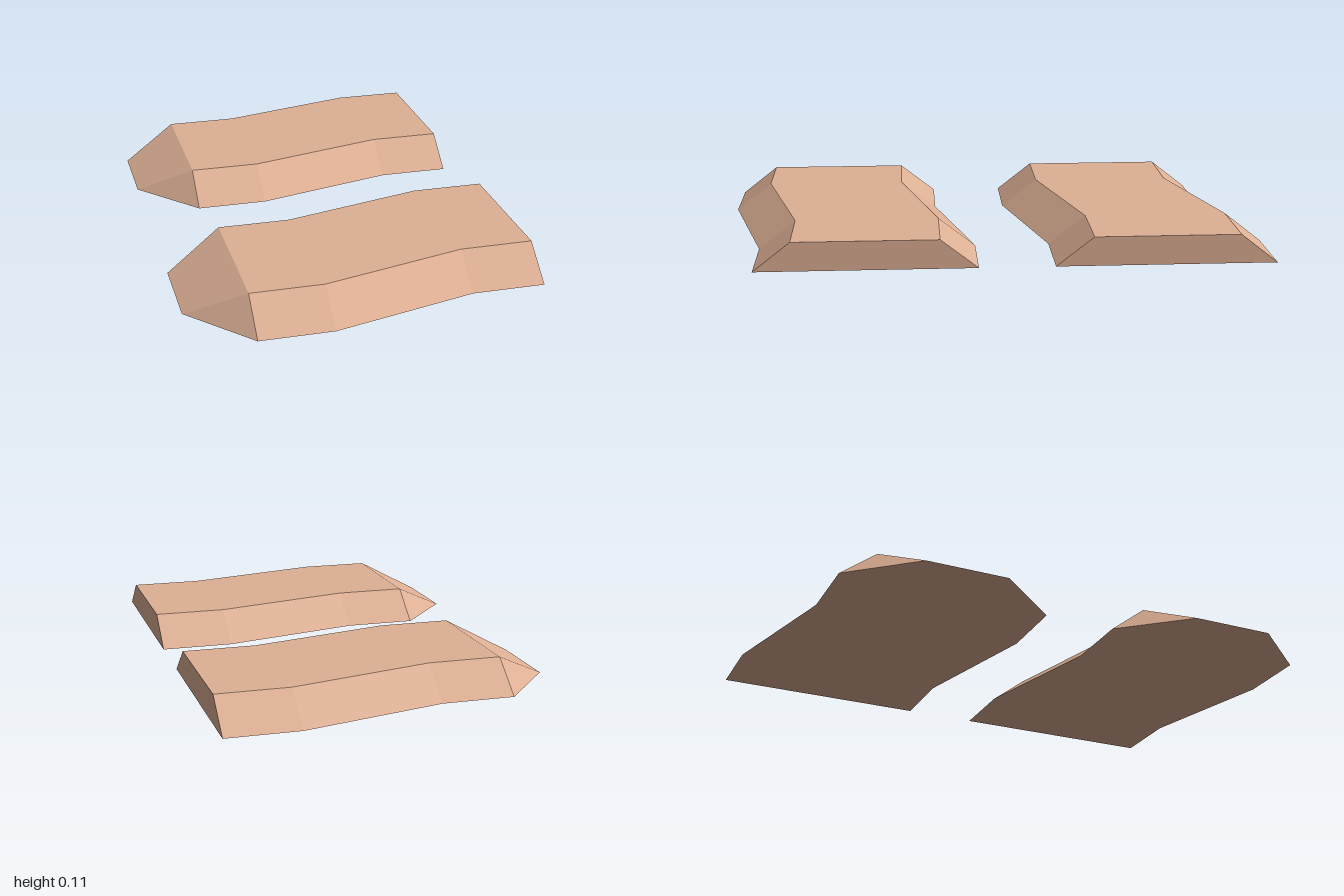
import * as THREE from 'three';

// Closed faceted slab lofted along x from trapezoid cross-sections
function slabGeometry() {
  const H = 0.107, BOTTOM = 0.398, TOP = 0.262, SHIFT = 0.135;
  // x, centre z, half width at the bottom, half width at the top, height
  const sections = [
    [-0.638, 0, 0.155, 0.155, 0],
    [-0.428, 0, BOTTOM, TOP, H],
    [-0.162, 0, BOTTOM, TOP, H],
    [0.37, -SHIFT, BOTTOM, TOP, H],
    [0.638, -SHIFT, BOTTOM, TOP, H],
  ];
  const positions = [];
  for (const [x, z, b, t, h] of sections) {
    positions.push(x, 0, z - b, x, 0, z + b, x, h, z + t, x, h, z - t);
  }
  const index = [];
  const quad = (a, b, c, d) => index.push(a, b, c, a, c, d);
  for (let i = 0; i < sections.length - 1; i++) {
    for (let k = 0; k < 4; k++) {
      const a = i * 4 + k, b = i * 4 + (k + 1) % 4;
      if (i === 0 && k === 1) index.push(a, a + 4, b + 4); // pointed toe corners
      else if (i === 0 && k === 3) index.push(b, a + 4, b + 4);
      else quad(a, a + 4, b + 4, b);
    }
  }
  // Flat heel end
  const e = (sections.length - 1) * 4;
  quad(e + 3, e + 2, e + 1, e);

  const geometry = new THREE.BufferGeometry();
  geometry.setAttribute('position', new THREE.Float32BufferAttribute(positions, 3));
  geometry.setIndex(index);
  const flat = geometry.toNonIndexed();
  flat.computeVertexNormals();
  return flat;
}

export function createModel() {
  const model = new THREE.Group();
  model.name = 'solePair';
  const tan = new THREE.MeshStandardMaterial({ color: 0xdeb095, flatShading: true });
  tan.name = 'tan';

  // Two identical soles, side by side along z
  const geometry = slabGeometry();
  for (const [name, z] of [['nearSole', 0.602], ['farSole', -0.467]]) {
    const sole = new THREE.Mesh(geometry, tan);
    sole.name = name;
    sole.position.z = z;
    model.add(sole);
  }
  return model;
}
